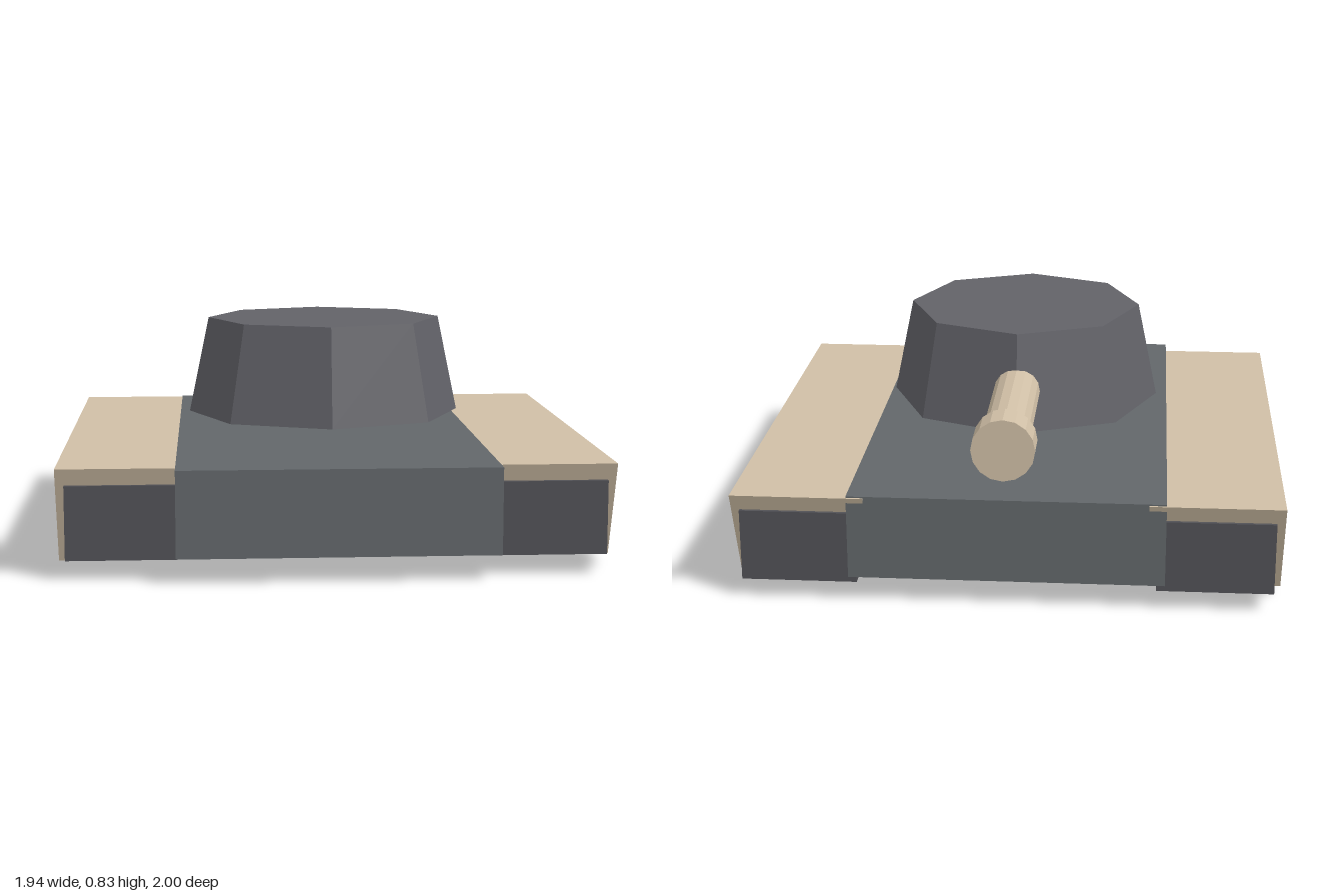
import * as THREE from 'three';

const material = (color) => new THREE.MeshStandardMaterial({ color, flatShading: true });

export function createModel() {
  const model = new THREE.Group();
  model.name = 'tank';
  const sand = material(0xd0bfa6);
  const hullGrey = material(0x62676a);
  const turretGrey = material(0x626268);
  const darkGrey = material(0x515156);

  const add = (name, geometry, mat, x, y, z, parent = model) => {
    const mesh = new THREE.Mesh(geometry, mat);
    mesh.name = name;
    mesh.position.set(x, y, z);
    parent.add(mesh);
    return mesh;
  };

  // Hull
  add('hull', new THREE.BoxGeometry(1.116, 0.305, 1.9), hullGrey, 0, 0.2425, 0.05);

  // Eight-sided turret, raised above the hull
  add('turret', new THREE.CylinderGeometry(0.44, 0.515, 0.36, 8), turretGrey, 0, 0.65, 0.093);

  // Gun, pointing to the back
  const barrel = new THREE.CylinderGeometry(0.085, 0.085, 0.7, 16).rotateX(Math.PI / 2);
  add('barrel', barrel, sand, 0, 0.615, -0.55);
  const muzzle = new THREE.CylinderGeometry(0.11, 0.11, 0.12, 16).rotateX(Math.PI / 2);
  add('muzzle', muzzle, sand, 0, 0.615, -0.94);

  // Side skirt profile, drawn as (-z, y) and extruded along x
  const profile = new THREE.Shape([
    new THREE.Vector2(-0.79, 0.045),
    new THREE.Vector2(0.77, 0.045),
    new THREE.Vector2(0.908, 0.39),
    new THREE.Vector2(-0.92, 0.39),
  ]);
  const skirt = new THREE.ExtrudeGeometry(profile, { depth: 0.47, bevelEnabled: false })
    .rotateY(Math.PI / 2).translate(-0.235, 0, 0);
  const trackBox = new THREE.BoxGeometry(0.41, 0.26, 1.81);
  const wheel = new THREE.CylinderGeometry(0.168, 0.168, 0.445, 16).rotateZ(Math.PI / 2);

  // Running gear on both sides
  for (const side of [1, -1]) {
    const track = new THREE.Group();
    track.name = side > 0 ? 'leftTrack' : 'rightTrack';
    track.position.x = side * 0.733;
    model.add(track);
    add('skirt', skirt, sand, 0, 0, 0, track);
    add('trackBox', trackBox, darkGrey, 0, 0.2, 0.008, track);
    for (const z of [0.57, 0.01, -0.55]) add('wheel', wheel, darkGrey, 0, 0.168, z, track);
  }
  return model;
}
